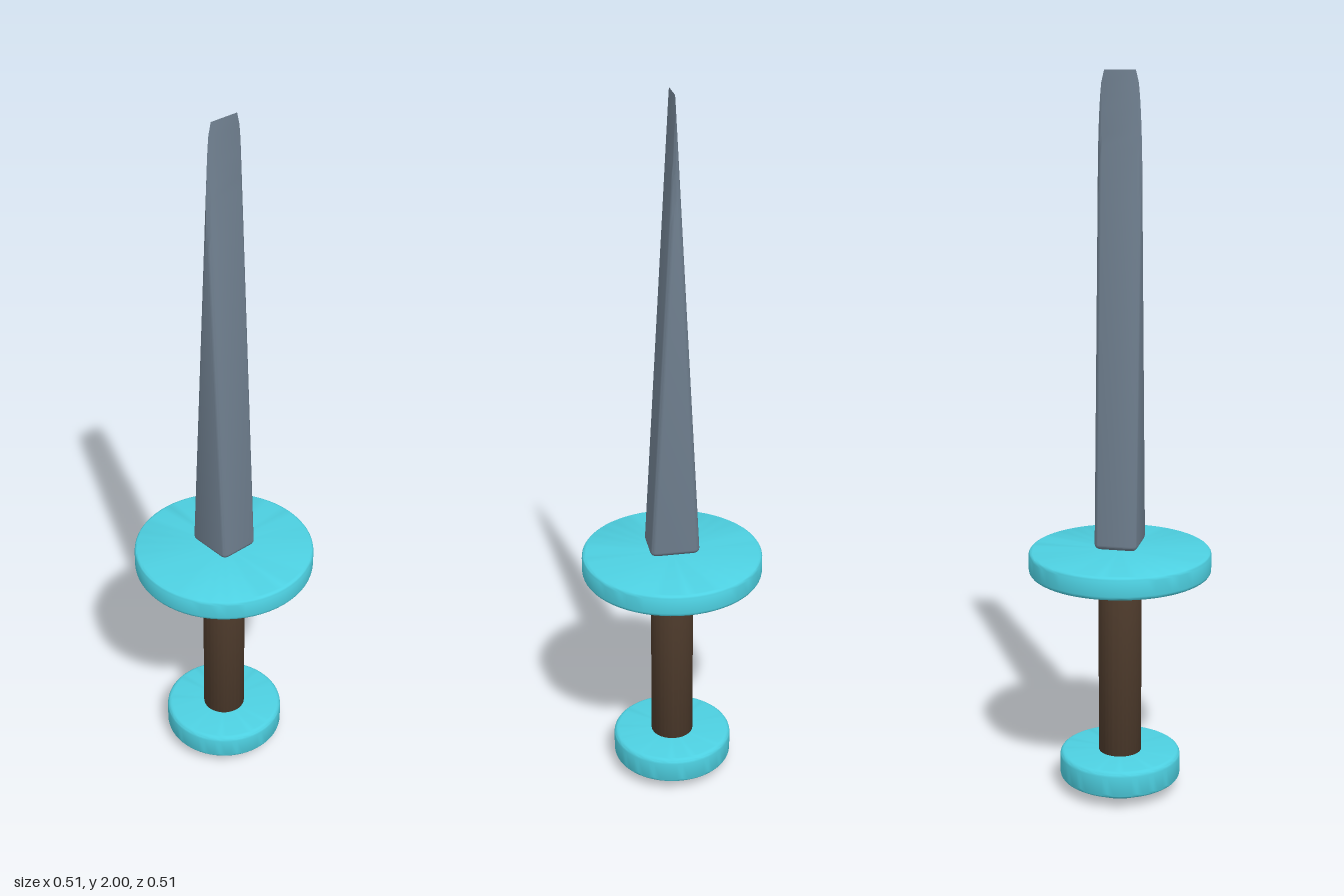
import * as THREE from 'three';
import { toCreasedNormals } from 'three/addons/utils/BufferGeometryUtils.js';

const teal = new THREE.MeshStandardMaterial({ color: 0x4dd0e1 });
const brown = new THREE.MeshStandardMaterial({ color: 0x4e3b2c });
const steel = new THREE.MeshStandardMaterial({ color: 0x708090 });

// Turned part with rounded rims; inner > 0 makes a ring.
function turned(name, outer, y0, y1, round, material, inner = 0) {
  const pts = [];
  const arc = (cx, cy, from) => {
    for (let i = 0; i <= 4; i++) {
      const a = from + (i / 4) * Math.PI / 2;
      pts.push(new THREE.Vector2(cx + round * Math.cos(a), cy + round * Math.sin(a)));
    }
  };
  if (!inner) pts.push(new THREE.Vector2(0, y0));
  arc(outer - round, y0 + round, -Math.PI / 2);
  arc(outer - round, y1 - round, 0);
  if (inner) {
    arc(inner + round, y1 - round, Math.PI / 2);
    arc(inner + round, y0 + round, Math.PI);
    pts.push(pts[0].clone());
  } else pts.push(new THREE.Vector2(0, y1));
  const mesh = new THREE.Mesh(toCreasedNormals(new THREE.LatheGeometry(pts, 64), 0.6), material);
  mesh.name = name;
  return mesh;
}

// Wedge blade: rounded rectangle sections narrowing in x to a tip edge along z.
function blade() {
  const base = 0.72, top = 2, halfX = 0.07, halfZ = 0.06, r = 0.018, lip = 0.014, steps = 5;
  const width = y => halfX * (top - y) / (top - base);
  const rows = []; // [y, inset]
  for (let i = 0; i <= 4; i++) {
    const a = (i / 4) * Math.PI / 2;
    rows.push([base + lip * (1 - Math.cos(a)), lip * (1 - Math.sin(a))]);
  }
  const yRound = top - (top - base) * r / halfX;
  for (let i = 0; i <= 10; i++) rows.push([yRound + (top - yRound) * i / 10, 0]);

  const section = ([y, inset]) => {
    const hw = Math.max(width(y) - inset, 0), hz = halfZ - inset, rr = r - inset;
    const end = Math.acos(Math.min(1, Math.max(0, (rr - hw) / rr)));
    const quarter = [];
    for (let i = 0; i <= steps; i++) {
      const a = end * i / steps;
      quarter.push([hw - rr + rr * Math.cos(a), hz - rr + rr * Math.sin(a)]);
    }
    const back = quarter.slice().reverse();
    return [
      ...quarter,
      ...back.map(([x, z]) => [-x, z]),
      ...quarter.map(([x, z]) => [-x, -z]),
      ...back.map(([x, z]) => [x, -z]),
    ].map(([x, z]) => [x, y, z]);
  };

  const loops = rows.map(section), n = loops[0].length;
  const positions = loops.flat(2), index = [];
  for (let j = 0; j < loops.length - 1; j++) {
    for (let i = 0; i < n; i++) {
      const k = (i + 1) % n, a = j * n + i, b = j * n + k;
      index.push(a, a + n, b, b, a + n, b + n);
    }
  }
  // Flat underside
  const centre = positions.length / 3;
  positions.push(0, base, 0);
  for (let i = 0; i < n; i++) index.push(centre, i, (i + 1) % n);

  const geo = new THREE.BufferGeometry();
  geo.setAttribute('position', new THREE.Float32BufferAttribute(positions, 3));
  geo.setIndex(index);
  const mesh = new THREE.Mesh(toCreasedNormals(geo, 0.6), steel);
  mesh.name = 'blade';
  return mesh;
}

export function createModel() {
  const dagger = new THREE.Group();
  dagger.name = 'dagger';
  dagger.add(
    turned('pommelRing', 0.105, 0, 0.045, 0.014, teal, 0.06),
    turned('pommel', 0.17, 0.033, 0.112, 0.014, teal),
    turned('grip', 0.06, 0.1, 0.6, 0.01, brown),
    turned('guard', 0.253, 0.64, 0.705, 0.012, teal),
    blade(),
  );
  return dagger;
}
